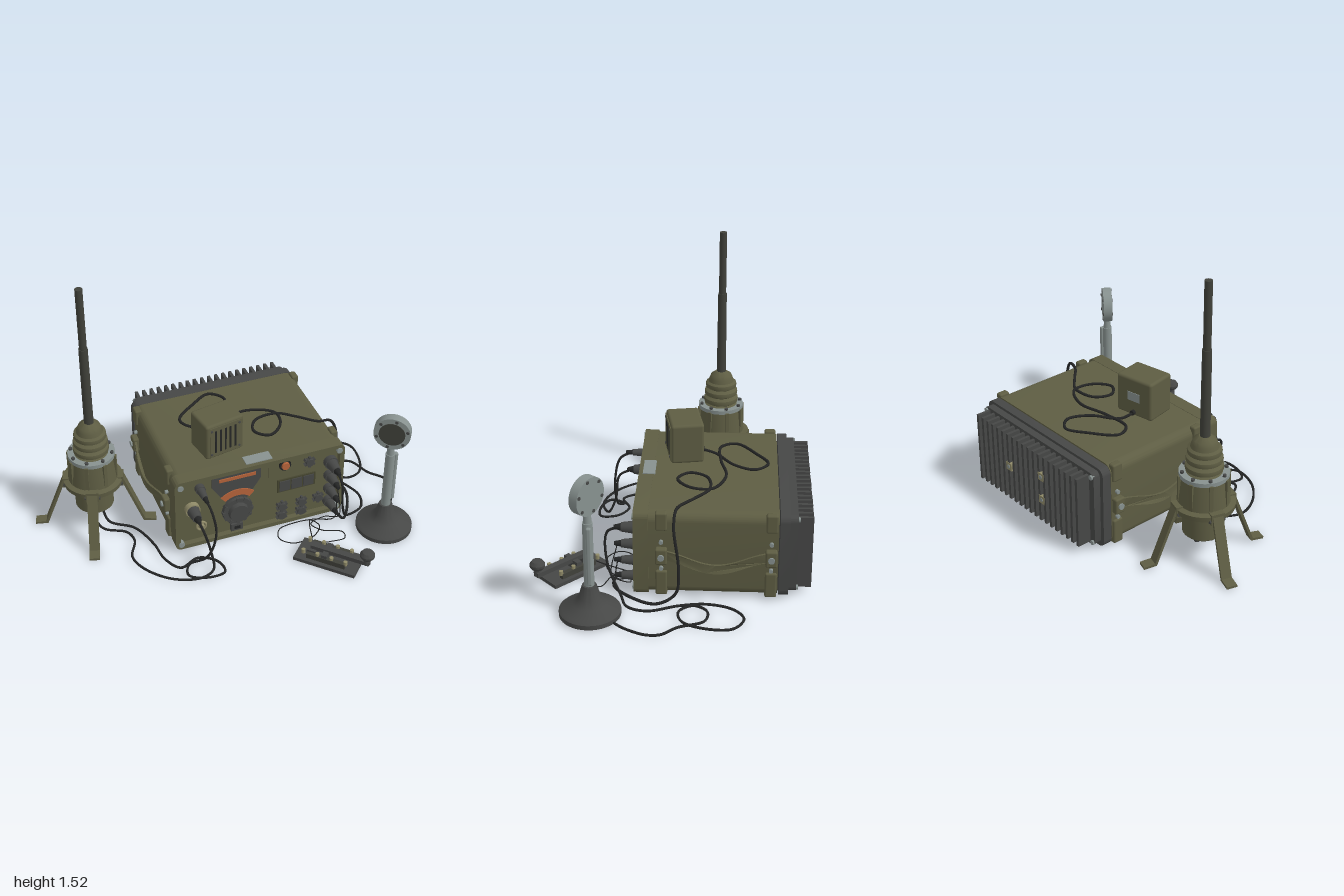
import * as THREE from 'three';
import { toCreasedNormals } from 'three/addons/utils/BufferGeometryUtils.js';
import { RoundedBoxGeometry } from 'three/addons/geometries/RoundedBoxGeometry.js';

const mat = (name, color) => Object.assign(new THREE.MeshStandardMaterial({ color }), { name });
const olive = mat('olive paint', 0x5e5d43);
const darkOlive = mat('dark olive', 0x45452f);
const charcoal = mat('charcoal metal', 0x464746);
const rubber = mat('black rubber', 0x242525);
const steel = mat('blue grey steel', 0x87918f);
const orange = mat('amber dial', 0xb5633a);
const brass = mat('pale brass', 0x8f8a68);
const gunmetal = mat('gunmetal rod', 0x40413a);

function add(parent, name, geo, material, x = 0, y = 0, z = 0, rx = 0, ry = 0, rz = 0) {
  const m = new THREE.Mesh(geo, material);
  m.name = name;
  m.position.set(x, y, z);
  m.rotation.set(rx, ry, rz);
  parent.add(m);
  return m;
}
const group = (parent, name, x = 0, y = 0, z = 0, ry = 0) => {
  const g = new THREE.Group();
  g.name = name;
  g.position.set(x, y, z);
  g.rotation.y = ry;
  parent.add(g);
  return g;
};
const box = (w, h, d) => new THREE.BoxGeometry(w, h, d);
const cyl = (r1, r2, h, n = 24) => new THREE.CylinderGeometry(r1, r2, h, n);
const lathe = (pts, n = 40) => toCreasedNormals(
  new THREE.LatheGeometry(pts.map(p => new THREE.Vector2(...p)), n).toNonIndexed(), 0.6);
const Q = Math.PI / 2;

// rounded rectangle outline
function roundRect(target, x0, y0, x1, y1, r) {
  target.moveTo(x0 + r, y0).lineTo(x1 - r, y0);
  target.absarc(x1 - r, y0 + r, r, -Q, 0, false);
  target.absarc(x1 - r, y1 - r, r, 0, Q, false);
  target.absarc(x0 + r, y1 - r, r, Q, 2 * Q, false);
  target.absarc(x0 + r, y0 + r, r, 2 * Q, 3 * Q, false);
  return target;
}
const extrude = (shape, depth, bevel = 0) => toCreasedNormals(new THREE.ExtrudeGeometry(shape, {
  depth, curveSegments: 8, bevelEnabled: bevel > 0, bevelSize: bevel, bevelThickness: bevel, bevelOffset: -bevel, bevelSegments: 2,
}), 0.6);

// smooth cable through points
const cable = (parent, name, r, pts) => add(parent, name, new THREE.TubeGeometry(
  new THREE.CatmullRomCurve3(pts.map(p => new THREE.Vector3(...p))), pts.length * 8, r, 6), rubber);
const flat = (y, pts) => pts.map(([x, z]) => [x, y, z]);

function buildCase(root) {
  const g = group(root, 'radioCase');
  add(g, 'caseBody', extrude(roundRect(new THREE.Shape(), -0.335, 0.015, 0.63, 0.478, 0.05), 0.66), olive, 0, 0, -0.55);
  const rim = roundRect(new THREE.Shape(), -0.342, 0.01, 0.638, 0.48, 0.035);
  rim.holes.push(roundRect(new THREE.Path(), -0.315, 0.035, 0.611, 0.455, 0.025));
  add(g, 'frontBezel', extrude(rim, 0.076), olive, 0, 0, 0.1);
  add(g, 'frontPanel', box(0.94, 0.43, 0.03), olive, 0.148, 0.245, 0.13);
  add(g, 'topPlate', box(0.15, 0.005, 0.065), steel, 0.145, 0.482, 0.122);
  add(g, 'bottomSlot', box(0.36, 0.005, 0.02), rubber, 0.15, 0.013, -0.25);

  // side pads, brackets, bolts and sagging handles
  for (const s of [-1, 1]) {
    const x = 0.1475 + s * 0.484;
    for (const z of [0.035, -0.515]) {
      add(g, 'upperPad', new RoundedBoxGeometry(0.04, 0.1, 0.06, 2, 0.01), olive, x - s * 0.008, 0.435, z);
      add(g, 'lowerPad', new RoundedBoxGeometry(0.04, 0.14, 0.06, 2, 0.01), olive, x - s * 0.008, 0.085, z);
      add(g, 'handleBracket', new RoundedBoxGeometry(0.04, 0.09, 0.06, 2, 0.01), olive, x + s * 0.012, 0.245, z);
      add(g, 'bracketBolt', cyl(0.017, 0.017, 0.03, 12), steel, x + s * 0.026, 0.245, z, 0, 0, Q);
      for (const y of [0.32, 0.17]) add(g, 'sideBolt', cyl(0.011, 0.011, 0.02, 8), steel, x + s * 0.005, y, z, 0, 0, Q);
    }
    const edge = [];
    for (let i = 0; i <= 20; i++) edge.push([0.03 - 0.54 * i / 20, 0.275 - 0.055 * Math.sin(Math.PI * i / 20) ** 2]);
    const strap = new THREE.Shape([...edge.map(([z, y]) => new THREE.Vector2(z, y)),
      ...edge.reverse().map(([z, y]) => new THREE.Vector2(z, y - 0.05))]);
    const sg = new THREE.ExtrudeGeometry(strap, { depth: 0.012, bevelEnabled: false });
    sg.rotateY(-Q);
    const p = sg.attributes.position;
    for (let i = 0; i < p.count; i++) p.setX(i, p.getX(i) + s * 0.035 * Math.sin(Math.PI * (0.03 - p.getZ(i)) / 0.54));
    add(g, 'carryHandle', toCreasedNormals(sg, 0.6), olive, x + s * 0.012 + 0.006, 0, 0);
  }
  for (const x of [-0.31, 0.605]) for (const y of [0.045, 0.445])
    add(g, 'cornerBolt', cyl(0.017, 0.017, 0.03, 12), steel, x, y, 0.168, Q);

  // rear heat sink
  add(g, 'rearFrame', extrude(roundRect(new THREE.Shape(), -0.338, 0.012, 0.632, 0.475, 0.04), 0.05), charcoal, 0, 0, -0.605);
  add(g, 'sinkPlate', extrude(roundRect(new THREE.Shape(), -0.315, 0.03, 0.61, 0.46, 0.03), 0.04), charcoal, 0, 0, -0.645);
  for (let i = 0; i < 20; i++) add(g, 'coolingFin', box(0.017, 0.4, 0.08), charcoal, -0.27 + i * 0.0442, 0.245, -0.682);
  for (const [x, y] of [[0.3, 0.25], [0.02, 0.32], [0.02, 0.18]]) {
    add(g, 'rearLug', box(0.045, 0.045, 0.085), brass, x, y, -0.682);
    add(g, 'rearLugBolt', cyl(0.012, 0.012, 0.006, 8), steel, x, y, -0.7245, Q);
  }
  for (const x of [-0.3, 0.59]) for (const y of [0.05, 0.44])
    add(g, 'rearBolt', cyl(0.013, 0.013, 0.02, 8), steel, x, y, -0.645, Q);
}

function buildPanel(root) {
  const g = group(root, 'controls', 0, 0, 0.145);
  // tuning dial
  const backing = new THREE.Shape([[-0.125, 0.445], [0.155, 0.445], [0.155, 0.37], [0.07, 0.24], [-0.04, 0.24], [-0.125, 0.37]]
    .map(p => new THREE.Vector2(...p)));
  add(g, 'dialBacking', extrude(backing, 0.008), charcoal);
  add(g, 'frequencyStrip', box(0.21, 0.02, 0.006), orange, 0.02, 0.41, 0.01);
  const arc = new THREE.Shape();
  arc.absarc(0.02, 0.18, 0.146, 0.85, Math.PI - 0.85, false);
  arc.absarc(0.02, 0.18, 0.105, Math.PI - 0.85, 0.85, true);
  add(g, 'dialArc', extrude(arc, 0.005), orange, 0, 0, 0.008);
  add(g, 'tuningKnobSkirt', cyl(0.085, 0.088, 0.02, 32), charcoal, 0.02, 0.18, 0.012, Q);
  add(g, 'tuningKnob', cyl(0.055, 0.062, 0.045, 12), charcoal, 0.02, 0.18, 0.024, Q);
  for (let i = 0; i < 12; i++) {
    const a = i * Math.PI / 6;
    add(g, 'knobGrip', box(0.018, 0.018, 0.026), charcoal, 0.02 + 0.08 * Math.cos(a), 0.18 + 0.08 * Math.sin(a), 0.012, 0, 0, a);
  }
  add(g, 'lowerSocket', box(0.07, 0.045, 0.02), charcoal, 0.017, 0.06, 0.008);
  add(g, 'lowerSocketSlot', box(0.035, 0.018, 0.006), rubber, 0.017, 0.06, 0.019);
  // lamp and switch windows
  add(g, 'lampPlate', box(0.16, 0.115, 0.006), olive, 0.28, 0.405, 0.003);
  add(g, 'lampRing', cyl(0.034, 0.034, 0.015), rubber, 0.293, 0.417, 0.01, Q);
  add(g, 'signalLamp', cyl(0.022, 0.027, 0.03), orange, 0.293, 0.417, 0.014, Q);
  add(g, 'windowFrame', box(0.225, 0.085, 0.008), darkOlive, 0.367, 0.268, 0.004);
  for (let i = 0; i < 3; i++) add(g, 'meterWindow', box(0.062, 0.068, 0.008), charcoal, 0.297 + i * 0.07, 0.268, 0.009);
  // lobed knobs
  for (const [x, y] of [[0.438, 0.397], [0.283, 0.125], [0.4, 0.125], [0.5, 0.125], [0.283, 0.06], [0.4, 0.06]]) {
    add(g, 'smallKnob', cyl(0.024, 0.024, 0.026, 16), charcoal, x, y, 0.013, Q);
    for (let i = 0; i < 3; i++) add(g, 'knobLobe', box(0.07, 0.013, 0.018), charcoal, x, y, 0.01, 0, 0, i * Math.PI / 3 + 0.5);
  }
  // cable plugs and sockets
  for (const [x, y, r] of [[-0.195, 0.395, 0.024], [-0.24, 0.265, 0.036], [0.565, 0.36, 0.034], [0.565, 0.265, 0.03], [0.565, 0.17, 0.028], [0.565, 0.08, 0.028]]) {
    add(g, 'plugCollar', cyl(r * 1.15, r * 1.15, 0.03, 16), r > 0.035 ? brass : charcoal, x, y, 0.015, Q);
    add(g, 'plugBody', cyl(r * 0.7, r, 0.07, 16), charcoal, x, y, 0.06, Q);
    add(g, 'plugBoot', cyl(0.01, r * 0.6, 0.04, 12), rubber, x, y, 0.112, Q);
  }
  add(g, 'spareSocket', new THREE.TorusGeometry(0.026, 0.007, 8, 20), brass, -0.187, 0.125, 0.007);
  add(g, 'spareSocketCore', cyl(0.016, 0.016, 0.03, 12), brass, -0.187, 0.125, 0.012, Q);
}

function buildSpeaker(root) {
  const g = group(root, 'speaker', -0.02, 0.48, -0.055, 0.18);
  add(g, 'speakerBox', new RoundedBoxGeometry(0.23, 0.22, 0.175, 3, 0.015), olive, 0, 0.112, 0);
  add(g, 'speakerFace', box(0.2, 0.19, 0.008), olive, 0.005, 0.112, 0.088);
  for (let i = 0; i < 5; i++) add(g, 'speakerSlit', box(0.011, 0.145, 0.004), rubber, -0.06 + i * 0.03, 0.112, 0.0915);
  for (const x of [-0.085, 0.085]) for (const y of [0.035, 0.19]) add(g, 'speakerScrew', cyl(0.007, 0.007, 0.008, 8), charcoal, x, y, 0.092, Q);
  add(g, 'backLabel', box(0.08, 0.05, 0.005), steel, 0, 0.115, -0.088);
  add(g, 'speakerCableSocket', cyl(0.014, 0.014, 0.03, 12), rubber, 0, 0.025, -0.09, Q);
}

function buildAntenna(root) {
  const g = group(root, 'antenna', -0.675, 0, -0.235);
  add(g, 'antennaHousing', lathe([[0, 0.13], [0.095, 0.13], [0.105, 0.14], [0.105, 0.285], [0.16, 0.29], [0.163, 0.318], [0.135, 0.325], [0.12, 0.47], [0, 0.47]]), olive);
  add(g, 'flange', cyl(0.128, 0.128, 0.022, 40), steel, 0, 0.48);
  for (let i = 0; i < 8; i++) {
    const a = i * Math.PI / 4 + 0.3, r = group(g, 'housingRib', 0, 0, 0, a);
    add(r, 'rib', box(0.02, 0.15, 0.022), olive, 0, 0.4, 0.125);
    add(r, 'flangeBolt', cyl(0.01, 0.01, 0.014, 8), charcoal, 0, 0.495, 0.114);
  }
  // rubbery bellows
  const prof = [[0.096, 0.488]];
  [[0.098, 0.52], [0.094, 0.565], [0.088, 0.61]].forEach(([r, y]) => prof.push([r - 0.016, y - 0.021], [r - 0.002, y - 0.012], [r, y], [r - 0.002, y + 0.012], [r - 0.016, y + 0.021]));
  prof.push([0.066, 0.65], [0.058, 0.67], [0.03, 0.69], [0, 0.69]);
  add(g, 'bellows', lathe(prof), olive);
  add(g, 'lowerRod', cyl(0.024, 0.026, 0.48, 20), gunmetal, 0, 0.92);
  add(g, 'upperRod', cyl(0.02, 0.02, 0.36, 20), gunmetal, 0, 1.335);
  // four splayed legs cut from one bent strip
  const leg = new THREE.Shape([[0.1, 0.3], [0.155, 0.3], [0.265, 0.008], [0.335, 0.003], [0.335, 0.015], [0.275, 0.02], [0.165, 0.315], [0.1, 0.315]].map(p => new THREE.Vector2(...p)));
  for (let i = 0; i < 4; i++) {
    const l = group(g, 'leg', 0, 0, 0, -0.31 + i * Q);
    add(l, 'legStrip', extrude(leg, 0.056), olive, 0, 0, -0.028);
    add(l, 'legHinge', box(0.05, 0.06, 0.07), olive, 0.14, 0.3, 0);
    add(l, 'legPin', cyl(0.012, 0.012, 0.085, 8), charcoal, 0.15, 0.29, 0, Q);
  }
  for (const [x, z] of [[0.03, 0.03], [-0.035, 0.02], [0, -0.04]]) add(g, 'bottomPlug', cyl(0.018, 0.014, 0.05, 12), charcoal, x, 0.11, z);
}

function buildMicrophone(root) {
  const g = group(root, 'microphone', 0.806, 0, 0.378);
  add(g, 'micBase', lathe([[0, 0.006], [0.155, 0.006], [0.155, 0.03], [0.14, 0.042], [0.085, 0.068], [0.055, 0.105], [0.036, 0.17], [0, 0.17]]), charcoal);
  add(g, 'lowerPost', cyl(0.026, 0.026, 0.36, 20), steel, 0, 0.34);
  add(g, 'upperPost', cyl(0.018, 0.022, 0.08, 20), steel, 0, 0.55);
  add(g, 'talkBar', new RoundedBoxGeometry(0.022, 0.32, 0.025, 2, 0.008), steel, 0.038, 0.35, -0.008);
  const h = group(g, 'micHead', 0, 0.667, 0, -0.61);
  add(h, 'headShell', cyl(0.099, 0.099, 0.05, 40), steel, 0, 0, 0, Q);
  add(h, 'headGrille', cyl(0.07, 0.07, 0.008, 32), gunmetal, 0, 0, 0.024, Q);
  for (let i = 0; i < 6; i++) {
    const a = i * Math.PI / 3 + 0.3;
    add(h, 'headBolt', cyl(0.009, 0.009, 0.058, 8), charcoal, 0.085 * Math.cos(a), 0.085 * Math.sin(a), 0, Q);
  }
}

function buildKey(root) {
  const g = group(root, 'telegraphKey', 0.413, 0, 0.515, Math.PI / 4);
  add(g, 'keyBase', box(0.17, 0.02, 0.35), charcoal, 0, 0.011, 0);
  add(g, 'keyArm', box(0.035, 0.025, 0.33), charcoal, -0.005, 0.068, 0.065);
  add(g, 'armPivot', box(0.11, 0.05, 0.03), charcoal, -0.005, 0.045, -0.01);
  add(g, 'rearStop', box(0.08, 0.04, 0.05), charcoal, 0, 0.04, -0.09);
  for (const s of [-1, 1]) {
    add(g, 'sideRail', box(0.025, 0.03, 0.22), gunmetal, s * 0.05, 0.035, 0);
    for (const z of [-0.13, -0.05, 0.03, 0.11]) add(g, 'terminal', cyl(0.011, 0.011, 0.025, 8), brass, s * 0.05, 0.055, z);
  }
  add(g, 'knobStem', cyl(0.015, 0.02, 0.05, 12), charcoal, -0.008, 0.085, 0.215);
  add(g, 'keyKnob', lathe([[0, 0.1], [0.03, 0.1], [0.04, 0.115], [0.04, 0.128], [0.028, 0.145], [0, 0.15]], 24), charcoal, -0.008, 0, 0.215);
}

function buildCables(root) {
  const g = group(root, 'cables');
  cable(g, 'speakerCable', 0.008, [[-0.04, 0.505, -0.14], ...flat(0.489, [[-0.02, -0.22], [0.11, -0.32], [0.16, -0.43], [0.09, -0.5], [-0.02, -0.44],
    [-0.14, -0.33], [-0.1, -0.25], [0.06, -0.25], [0.24, -0.28], [0.38, -0.21], [0.37, -0.1], [0.28, -0.03], [0.21, -0.09], [0.25, -0.18], [0.38, -0.2],
    [0.48, -0.13], [0.575, -0.05], [0.64, -0.035]]), [0.675, 0.42, -0.03], [0.695, 0.2, -0.055], [0.7, 0.06, -0.04], [0.725, 0.015, 0.05],
    [0.68, 0.012, 0.17], [0.6, 0.04, 0.28], [0.565, 0.08, 0.265]]);
  cable(g, 'micCable', 0.007, [[0.565, 0.36, 0.25], [0.565, 0.33, 0.31], [0.58, 0.15, 0.31], [0.65, 0.015, 0.24], ...flat(0.01, [[0.75, 0.2], [0.785, 0.1],
    [0.73, -0.06], [0.71, -0.2], [0.75, -0.33], [0.83, -0.385], [0.92, -0.33], [0.925, -0.2], [0.87, -0.08], [0.78, -0.06], [0.725, -0.13],
    [0.77, -0.2], [0.86, -0.19], [0.92, -0.06], [0.985, 0.02], [0.99, 0.09], [0.94, 0.2], [0.88, 0.27]])]);
  cable(g, 'antennaCableA', 0.007, [[-0.645, 0.1, -0.205], [-0.62, 0.03, -0.16], ...flat(0.012, [[-0.5, -0.08], [-0.44, 0.08], [-0.42, 0.22], [-0.36, 0.31],
    [-0.25, 0.27], [-0.16, 0.33], [-0.15, 0.42], [-0.25, 0.43], [-0.34, 0.38], [-0.31, 0.3]]), [-0.22, 0.06, 0.33], [-0.17, 0.22, 0.34], [-0.185, 0.36, 0.31], [-0.195, 0.395, 0.25]]);
  cable(g, 'antennaCableB', 0.007, [[-0.71, 0.1, -0.215], [-0.67, 0.03, -0.12], ...flat(0.012, [[-0.55, -0.06], [-0.53, 0.02], [-0.58, 0.14], [-0.54, 0.26],
    [-0.42, 0.38], [-0.28, 0.42], [-0.2, 0.38]]), [-0.2, 0.1, 0.34], [-0.23, 0.23, 0.32], [-0.24, 0.265, 0.25]]);
  cable(g, 'keyCableA', 0.003, [[0.565, 0.17, 0.26], [0.55, 0.05, 0.27], ...flat(0.008, [[0.46, 0.2], [0.36, 0.19], [0.25, 0.21], [0.22, 0.28], [0.28, 0.34],
    [0.4, 0.33], [0.47, 0.26], [0.44, 0.2]]), [0.38, 0.03, 0.36], [0.35, 0.04, 0.43]]);
  cable(g, 'keyCableB', 0.003, [[0.565, 0.265, 0.26], [0.57, 0.08, 0.29], ...flat(0.008, [[0.52, 0.2], [0.43, 0.23], [0.47, 0.3], [0.57, 0.35], [0.56, 0.4], [0.48, 0.4]]), [0.4, 0.04, 0.42]]);
}

export function createModel() {
  const root = new THREE.Group();
  root.name = 'fieldRadioSet';
  [buildCase, buildPanel, buildSpeaker, buildAntenna, buildMicrophone, buildKey, buildCables].forEach(build => build(root));
  return root;
}
